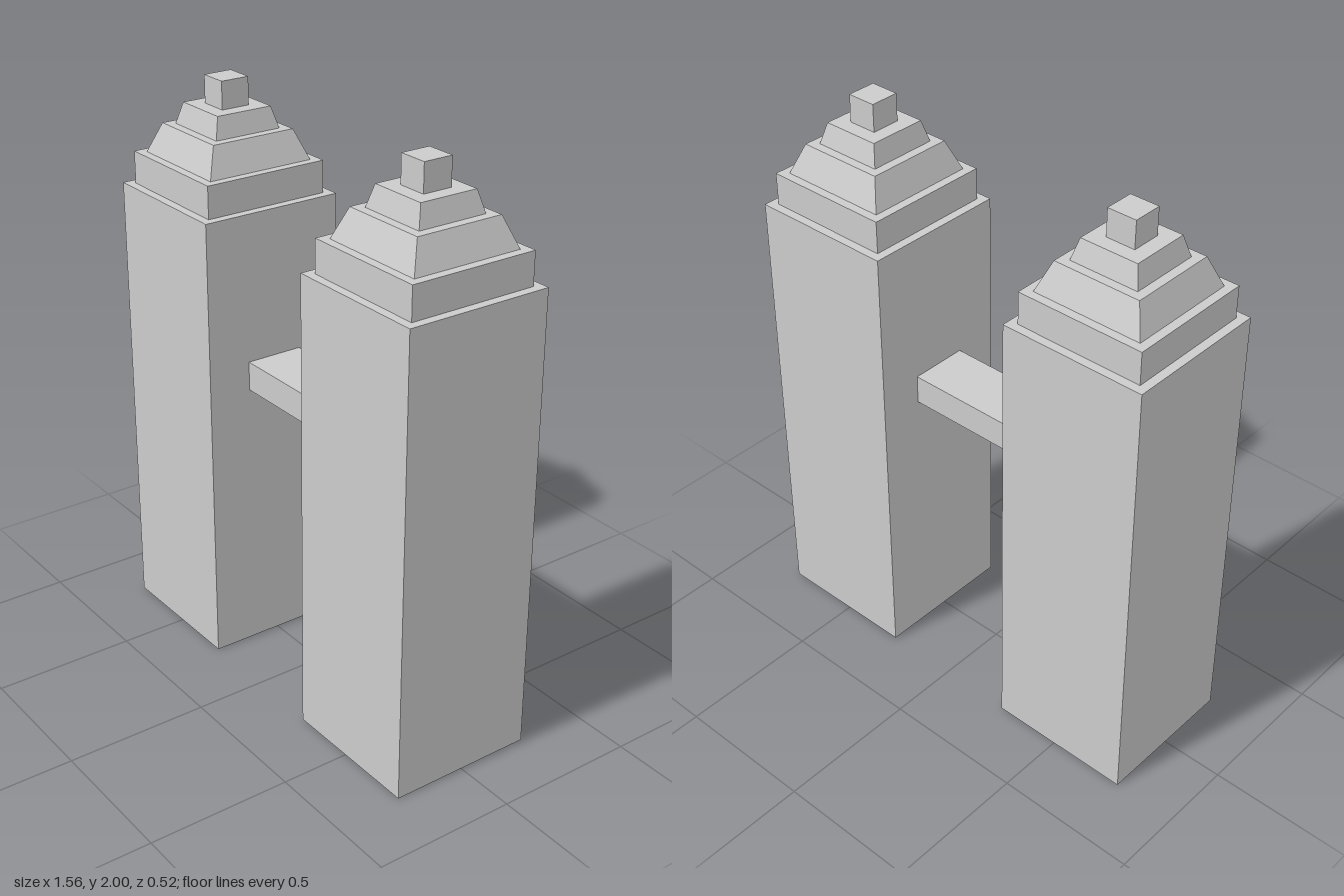
import * as THREE from 'three';

const material = new THREE.MeshStandardMaterial({ color: 0xcccccc, flatShading: true });

// Square tier: half-width at the bottom and top, between heights y0 and y1
function tier(name, bottom, top, y0, y1) {
  const h = y1 - y0;
  const geometry = bottom === top
    ? new THREE.BoxGeometry(bottom * 2, h, bottom * 2)
    : new THREE.CylinderGeometry(top * Math.SQRT2, bottom * Math.SQRT2, h, 4).rotateY(Math.PI / 4);
  const mesh = new THREE.Mesh(geometry, material);
  mesh.name = name;
  mesh.position.y = (y0 + y1) / 2;
  return mesh;
}

// Tower: shaft, set-back storey, two sloped roofs and a cap block
function createTower(name, x) {
  const tower = new THREE.Group();
  tower.name = name;
  tower.position.x = x;
  tower.add(
    tier('shaft', 0.259, 0.259, 0, 1.614),
    tier('upperStorey', 0.228, 0.228, 1.614, 1.727),
    tier('lowerRoof', 0.197, 0.156, 1.727, 1.83),
    tier('upperRoof', 0.124, 0.104, 1.83, 1.904),
    tier('capBlock', 0.052, 0.052, 1.904, 2),
  );
  return tower;
}

export function createModel() {
  const model = new THREE.Group();
  model.name = 'twinTowers';
  model.add(createTower('leftTower', 0.519), createTower('rightTower', -0.519));

  // Walkway joining the inner faces of the towers
  const bridge = new THREE.Mesh(new THREE.BoxGeometry(0.52, 0.103, 0.207), material);
  bridge.name = 'skyBridge';
  bridge.position.y = 1.039;
  model.add(bridge);
  return model;
}
